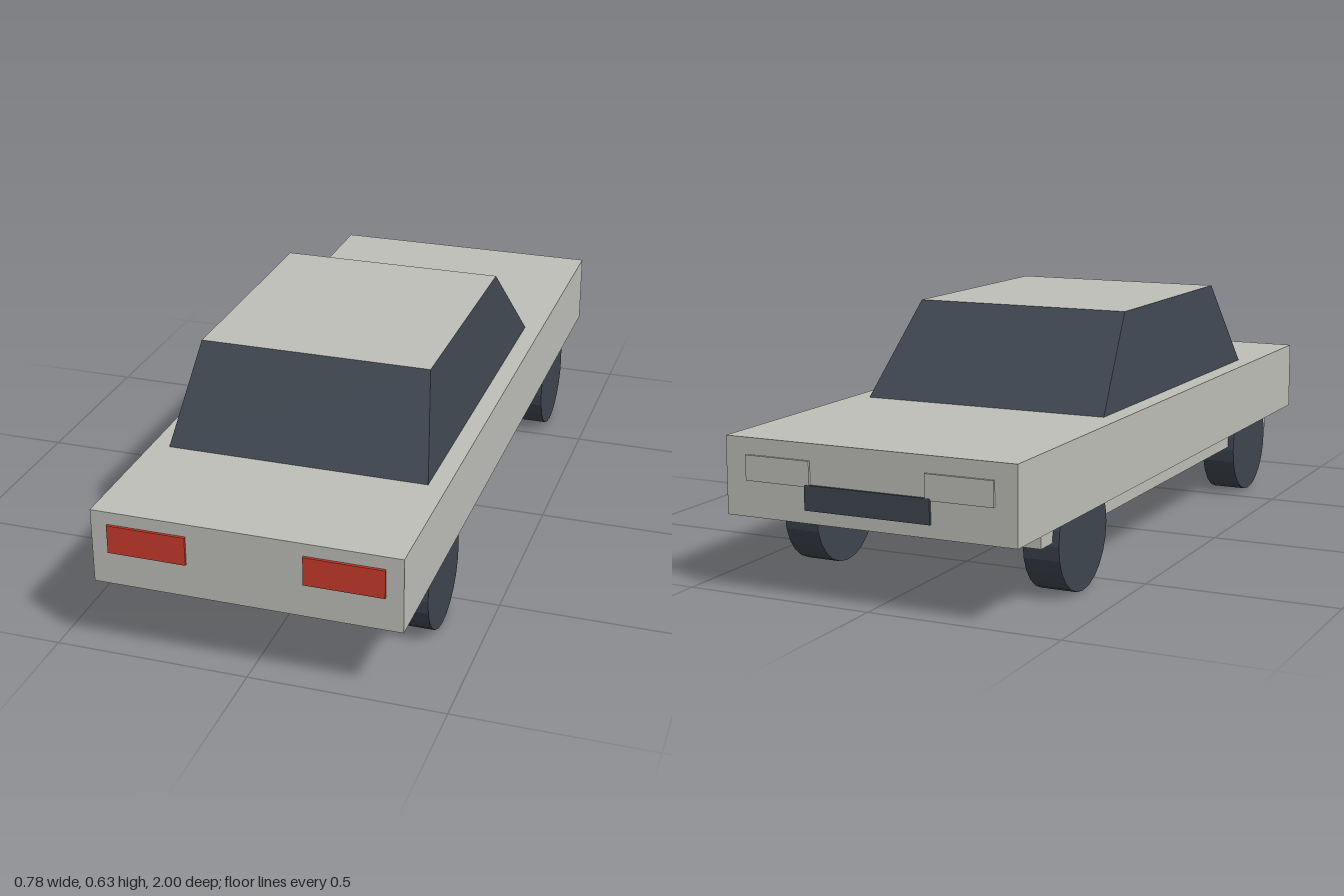
import * as THREE from 'three';

const paint = (name, color, extra = {}) => {
  const m = new THREE.MeshStandardMaterial({ color, ...extra });
  m.name = name;
  return m;
};

export function createModel() {
  const grey = paint('body grey', 0xbfbfba);
  const dark = paint('dark slate', 0x3f4650);
  const tyre = paint('tyre slate', 0x3f4650, { flatShading: true });
  const red = paint('lamp red', 0xc93a2c);
  const car = new THREE.Group();
  car.name = 'car';

  const add = (name, geometry, material, x, y, z) => {
    const mesh = new THREE.Mesh(geometry, material);
    mesh.name = name;
    mesh.position.set(x, y, z);
    car.add(mesh);
    return mesh;
  };
  // box given by its limits on each axis
  const box = (name, material, [x0, x1], [y0, y1], [z0, z1]) =>
    add(name, new THREE.BoxGeometry(x1 - x0, y1 - y0, z1 - z0), material,
      (x0 + x1) / 2, (y0 + y1) / 2, (z0 + z1) / 2);

  // main slab and the narrower floor below it
  box('body', grey, [-0.39, 0.39], [0.195, 0.39], [-0.993, 0.993]);
  box('underbody', grey, [-0.365, 0.365], [0.15, 0.2], [-0.82, 0.824]);

  // cabin: a box tapered to the roof, glass all round, body-coloured roof
  const cabin = new THREE.BoxGeometry(1, 1, 1);
  const p = cabin.attributes.position;
  for (let i = 0; i < p.count; i++) {
    const top = p.getY(i) > 0;
    const front = p.getZ(i) > 0;
    const x = Math.sign(p.getX(i)) * (top ? 0.303 : 0.342);
    const z = front ? (top ? 0.485 : 0.632) : (top ? -0.175 : -0.402);
    p.setXYZ(i, x, top ? 0.63 : 0.388, z);
  }
  cabin.computeVertexNormals();
  add('cabin', cabin, [dark, dark, grey, dark, dark, dark], 0, 0, 0);

  // wheels and lamps, mirrored left and right
  const wheel = new THREE.CylinderGeometry(0.142, 0.142, 0.095, 24);
  wheel.rotateZ(Math.PI / 2);
  for (const s of [1, -1]) {
    const side = s > 0 ? 'left' : 'right';
    const span = (a, b) => (s > 0 ? [a, b] : [-b, -a]);
    add(side + 'FrontWheel', wheel, tyre, s * 0.335, 0.142, 0.621);
    add(side + 'RearWheel', wheel, tyre, s * 0.335, 0.142, -0.617);
    box(side + 'RedLamp', red, span(0.147, 0.347), [0.283, 0.357], [0.992, 1]);
    box(side + 'PlainLamp', grey, span(0.155, 0.332), [0.285, 0.348], [-0.999, -0.992]);
  }

  // dark grille at the far end
  box('grille', dark, [-0.168, 0.168], [0.228, 0.29], [-1, -0.992]);

  return car;
}
